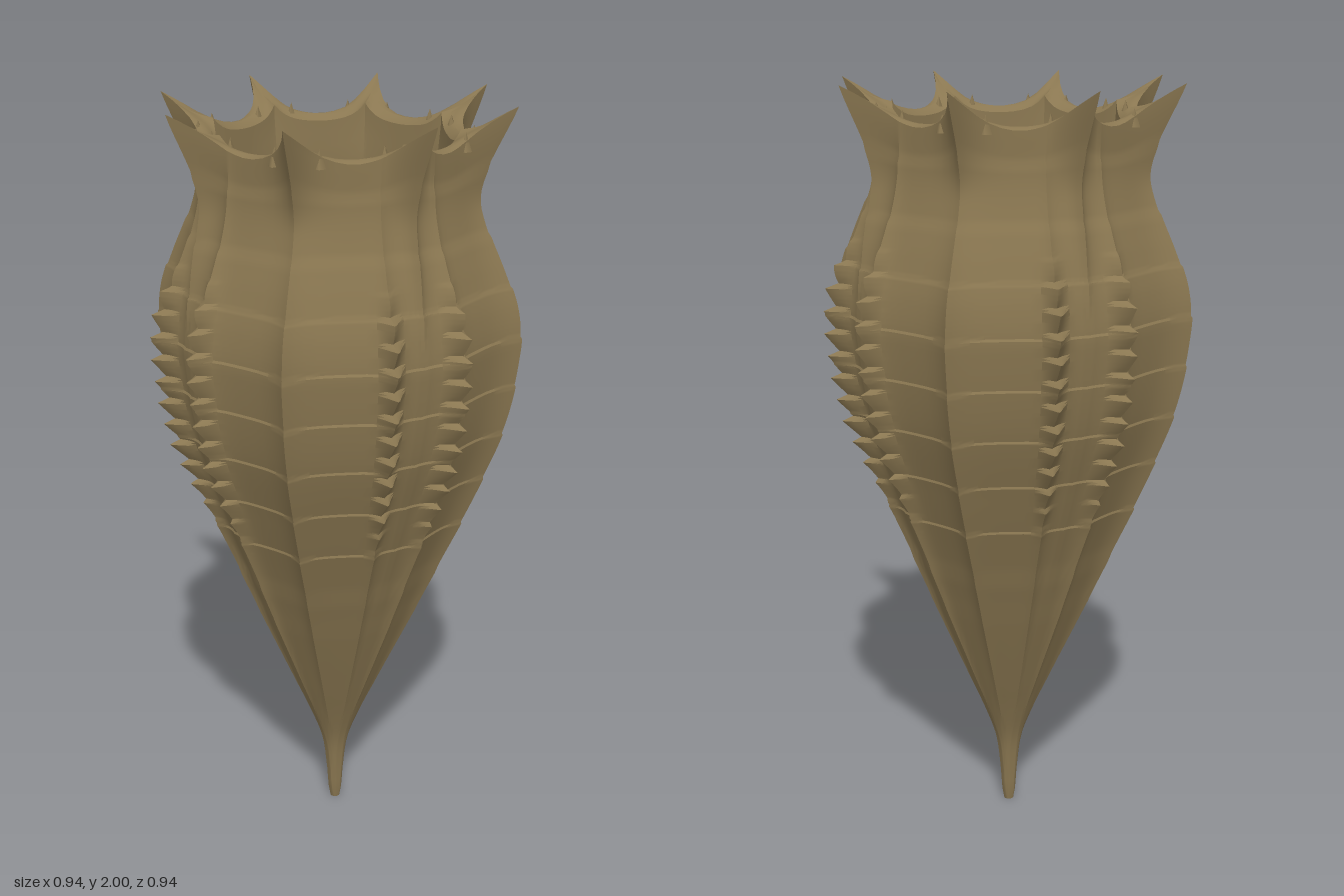
import * as THREE from 'three';
import { toCreasedNormals } from 'three/addons/utils/BufferGeometryUtils.js';

const RAD = Math.PI / 180;
const smooth = THREE.MathUtils.smoothstep;

// Piecewise smooth height -> radius curve
function profile(points) {
  return (y) => {
    let i = 0;
    while (i < points.length - 2 && y > points[i + 1][0]) i++;
    const slope = (k) => {
      const a = points[Math.max(0, k - 1)], b = points[Math.min(points.length - 1, k + 1)];
      return (b[1] - a[1]) / (b[0] - a[0]);
    };
    const [y0, r0] = points[i], [y1, r1] = points[i + 1];
    const h = y1 - y0, t = THREE.MathUtils.clamp((y - y0) / h, 0, 1);
    const t2 = t * t, t3 = t2 * t;
    return (2 * t3 - 3 * t2 + 1) * r0 + (t3 - 2 * t2 + t) * h * slope(i)
      + (3 * t2 - 2 * t3) * r1 + (t3 - t2) * h * slope(i + 1);
  };
}

const bodyRadius = profile([
  [0, 0.013], [0.03, 0.018], [0.1, 0.023], [0.2, 0.036], [0.3, 0.07], [0.4, 0.11], [0.6, 0.187],
  [0.8, 0.257], [1, 0.325], [1.2, 0.385], [1.4, 0.412], [1.5, 0.405], [1.6, 0.38],
  [1.7, 0.35], [1.8, 0.33], [1.9, 0.328],
]);

// Angles of one eighth, packed closely around the ridges, then mirrored all round
const EIGHTH = [0, 1.2, 2.5, 4.5, 7, 9, 10.5, 11.7, 12.5, 13.3, 14.5, 16.5, 20, 25, 30, 35, 39, 42, 43.7];
const ANGLES = [];
for (let q = 0; q < 4; q++) {
  EIGHTH.forEach((a) => ANGLES.push(q * 90 + a));
  ANGLES.push(q * 90 + 45);
  EIGHTH.slice(1).reverse().forEach((a) => ANGLES.push(q * 90 + 90 - a));
}

// Rings of points joined into a surface; place(angle, row) gives [radius, height]
function loft(rows, place) {
  const pos = [], index = [], n = ANGLES.length;
  rows.forEach((row) => ANGLES.forEach((a) => {
    const [r, y] = place(a, row);
    pos.push(r * Math.sin(a * RAD), y, r * Math.cos(a * RAD));
  }));
  for (let i = 0; i < rows.length - 1; i++) {
    for (let j = 0; j < n; j++) {
      const k = (j + 1) % n;
      const a = i * n + j, b = i * n + k, c = b + n, d = a + n;
      index.push(a, b, c, a, c, d);
    }
  }
  const g = new THREE.BufferGeometry();
  g.setAttribute('position', new THREE.Float32BufferAttribute(pos, 3));
  g.setIndex(index);
  return toCreasedNormals(g, 0.55);
}

// Angular distance to the nearest square axis (0..45)
const fromAxis = (a) => { const m = a % 90; return Math.min(m, 90 - m); };
const fromSpike = (a) => { const d = fromAxis(a); return Math.min(d, 45 - d); };
const cusp = (d, w) => Math.exp(-Math.abs(d) / w);

// Ribs: single on the diagonals, toothed pairs beside the square axes
function ribs(a, y) {
  const d = fromAxis(a);
  const grow = smooth(y, 0.15, 1.3);
  const neck = 1 - smooth(y, 1.45, 1.8);
  const diagonal = cusp(45 - d, 6) * grow * (0.028 + 0.04 * neck);
  const axis = cusp(d, 3) * (0.008 * grow + 0.028 * smooth(y, 1.45, 1.75));
  const pair = cusp(d - 12.5, 3.5) * grow * (0.012 + 0.026 * neck);
  // teeth lean upward: slow rise, sharp drop
  const phase = (y / 0.058) % 1;
  const saw = phase < 0.8 ? phase / 0.8 : (1 - phase) / 0.2;
  const toothed = smooth(y, 0.85, 1.15) * (1 - smooth(y, 1.5, 1.65));
  const teeth = Math.max(0, 1 - Math.abs(d - 12) / 4.5) * saw * 0.036 * toothed;
  return diagonal + axis + pair + teeth;
}

// Outer wall, flaring into eight spikes at the mouth
function outer(a, y) {
  const s = fromSpike(a);
  const lip = smooth(y, 1.74, 1.9) * Math.max(0, (y - 1.74) / 0.16);
  const bands = 0.004 * ((y / 0.13) % 1) * smooth(y, 0.5, 0.9);
  const r = bodyRadius(y) + ribs(a, y) * (1 - 0.8 * lip) + bands + 0.115 * cusp(s, 4.5) * lip;
  return [r, y + 0.1 * cusp(s, 7) * lip];
}

// Mouth edge on the inside, drawn in slightly between spikes
function innerEdge(a) {
  const s = fromSpike(a);
  return [0.286 + 0.028 * cusp(s, 9), 1.895 + 0.045 * cusp(s, 6)];
}

function inner(a, y) {
  const [re, ye] = innerEdge(a);
  const t = smooth(y, 1.65, 1.885);
  const r = Math.max(0.01, bodyRadius(y) - 0.045);
  return [r + (re - r) * t, y + (ye - 1.885) * t];
}

const steps = (from, to, n) => Array.from({ length: n + 1 }, (_, i) => from + (to - from) * i / n);

export function createModel() {
  const model = new THREE.Group();
  const shellBrown = new THREE.MeshStandardMaterial({ color: 0x8a7751 });
  shellBrown.name = 'shellBrown';
  const add = (name, geometry) => {
    const mesh = new THREE.Mesh(geometry, shellBrown);
    mesh.name = name;
    model.add(mesh);
    return mesh;
  };

  // Ribbed outside, from stem tip to spikes
  const rows = [...steps(0, 0.84, 28), ...steps(0.8526, 1.6588, 139), ...steps(1.68, 1.9, 16)];
  add('outerShell', loft(rows, outer));
  add('stemTip', loft([0, 1], (a, t) => [outer(a, 0)[0] * t, 0]));

  // Lip between the outer and inner edges
  add('rim', loft(steps(0, 1, 4), (a, t) => {
    const [ro, yo] = outer(a, 1.9), [ri, yi] = innerEdge(a);
    const sag = 0.012 * Math.sin(Math.PI * t) * (1 - 2 * cusp(fromSpike(a), 5));
    return [ro + (ri - ro) * t, yo + (yi - yo) * t + sag];
  }));

  // Hollow inside and its small floor
  add('innerWall', loft(steps(1.885, 0.34, 48), inner));
  add('innerFloor', loft([1, 0], (a, t) => [inner(a, 0.34)[0] * t, 0.34]));

  // Small knobs on the lip either side of each spike
  const knob = new THREE.ConeGeometry(0.016, 0.045, 5);
  for (let i = 0; i < 8; i++) {
    for (const side of [-1, 1]) {
      const a = (i * 45 + side * 9) * RAD, r = i % 2 ? 0.34 : 0.315;
      const mesh = add('rimKnob', knob);
      mesh.position.set(r * Math.sin(a), 1.92, r * Math.cos(a));
      mesh.rotation.y = a;
    }
  }
  return model;
}
